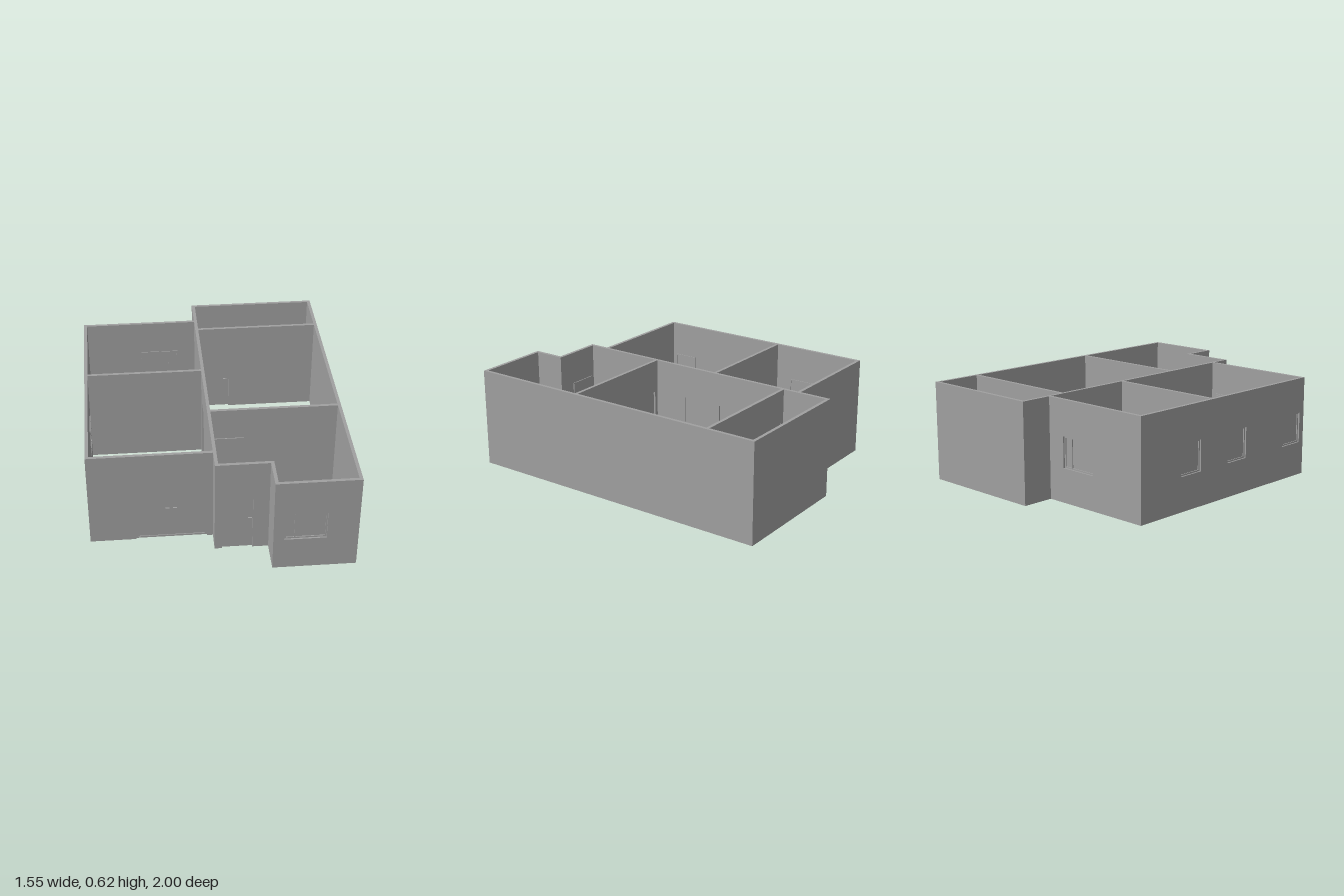
import * as THREE from 'three';

const H = 0.62, T = 0.02;          // wall height and thickness
const DOOR_TOP = 0.415, WIN_LOW = 0.21, WIN_TOP = 0.4;

export function createModel() {
  const model = new THREE.Group();
  model.name = 'house';
  const grey = new THREE.MeshStandardMaterial({ color: 0xa0a0a0 });
  grey.name = 'plaster grey';

  // box given by its limits in wall space: u along, y up, w through the wall
  function block(parent, name, u0, u1, y0, y1, w0, w1) {
    const m = new THREE.Mesh(new THREE.BoxGeometry(u1 - u0, y1 - y0, Math.abs(w1 - w0)), grey);
    m.position.set((u0 + u1) / 2, (y0 + y1) / 2, (w0 + w1) / 2);
    m.name = name;
    parent.add(m);
  }

  // four-sided frame; doors skip the raised sill
  function frame(parent, name, o, y0, y1, b, w0, w1) {
    block(parent, name, o.a, o.a + b, y0, y1, w0, w1);
    block(parent, name, o.b - b, o.b, y0, y1, w0, w1);
    block(parent, name, o.a + b, o.b - b, y1 - b, y1, w0, w1);
    block(parent, name, o.a + b, o.b - b, y0, y0 + b, w0, w1);
  }

  // each filler measures depth d from the outer face inward
  const fillers = {
    window(g, o, at) {
      frame(g, 'windowFrame', o, WIN_LOW, WIN_TOP, 0.009, at(0.01), at(0.025));
      block(g, 'windowPane', o.a + 0.009, o.b - 0.009, WIN_LOW + 0.009, WIN_TOP - 0.009, at(0.016), at(0.02));
      if (o.bar !== undefined)
        block(g, 'windowBar', o.bar, o.bar + 0.009, WIN_LOW + 0.009, WIN_TOP - 0.009, at(0.01), at(0.025));
    },
    door(g, o, at) {
      block(g, 'doorLeaf', o.a, o.b, 0, DOOR_TOP, at(0.012), at(o.flush ? 0.018 : 0.026));
      block(g, 'doorHandle', o.knob - 0.012, o.knob + 0.012, 0.213, 0.219, at(0.003), at(0.031));
    },
    garage(g, o, at) {
      frame(g, 'garageDoorFrame', o, 0, DOOR_TOP, 0.011, at(0.01), at(0.027));
      block(g, 'garageDoorPanel', o.a + 0.011, o.b - 0.011, 0.011, DOOR_TOP - 0.011, at(0.015), at(0.034));
      for (const x of [-0.31, -0.265])
        block(g, 'garageDoorHandle', x - 0.012, x + 0.012, 0.213, 0.219, at(0.006), at(0.039));
    },
  };

  // wall from u0 to u1; axis 'x' starts at z = base, axis 'z' spans base - T to base
  function wall(name, axis, base, u0, u1, openings = []) {
    const g = new THREE.Group();
    g.name = name;
    const shape = new THREE.Shape();
    shape.moveTo(u0, 0);
    for (const o of openings) {
      if (o.kind === 'window') {
        const hole = new THREE.Path();
        hole.moveTo(o.a, WIN_LOW);
        hole.lineTo(o.a, WIN_TOP);
        hole.lineTo(o.b, WIN_TOP);
        hole.lineTo(o.b, WIN_LOW);
        hole.closePath();
        shape.holes.push(hole);
      } else {
        shape.lineTo(o.a, 0);
        shape.lineTo(o.a, DOOR_TOP);
        shape.lineTo(o.b, DOOR_TOP);
        shape.lineTo(o.b, 0);
      }
    }
    shape.lineTo(u1, 0);
    shape.lineTo(u1, H);
    shape.lineTo(u0, H);
    shape.closePath();
    const body = new THREE.Mesh(new THREE.ExtrudeGeometry(shape, { depth: T, bevelEnabled: false }), grey);
    body.name = name + 'Body';
    g.add(body);
    for (const o of openings) {
      const at = d => (o.outer === -1 ? d : T - d);
      fillers[o.kind](g, o, at);
    }
    if (axis === 'x') g.position.z = base;
    else {
      g.rotation.y = -Math.PI / 2;
      g.position.x = base;
    }
    model.add(g);
  }

  // walls running front to back
  wall('leftWingSideWall', 'z', -0.755, -0.8, 0.68, [
    { kind: 'window', a: -0.47, b: -0.3 },
    { kind: 'window', a: -0.06, b: 0.11 },
    { kind: 'window', a: 0.47, b: 0.64 },
  ]);
  wall('middleWall', 'z', -0.02, -1, 0.805, [
    { kind: 'door', a: -0.4, b: -0.23, knob: -0.375, outer: -1 },
    { kind: 'door', a: -0.14, b: 0.03, knob: 0.005, flush: true },
  ]);
  wall('longSideWall', 'z', 0.775, -1, 1);
  wall('porchSideWall', 'z', 0.3, 0.805, 1);

  // walls of the smaller wing running across
  wall('wingBackWall', 'x', -0.8, -0.755, -0.04, [
    { kind: 'window', a: -0.4, b: -0.155, bar: -0.22, outer: -1 },
  ]);
  wall('wingDivider', 'x', -0.199, -0.755, -0.04);
  wall('garageFrontWall', 'x', 0.66, -0.755, -0.04, [
    { kind: 'garage', a: -0.5, b: -0.075 },
  ]);

  // walls of the larger wing running across
  wall('backWall', 'x', -1, -0.02, 0.755);
  wall('backDivider', 'x', -0.695, -0.02, 0.755, [
    { kind: 'door', a: 0.01, b: 0.185, knob: 0.16, flush: true },
  ]);
  wall('frontDivider', 'x', 0.25, -0.02, 0.755, [
    { kind: 'door', a: 0.005, b: 0.185, knob: 0.045, outer: -1 },
  ]);
  wall('porchWall', 'x', 0.785, -0.02, 0.3, [
    { kind: 'door', a: 0.005, b: 0.185, knob: 0.168 },
  ]);
  wall('frontWall', 'x', 0.98, 0.3, 0.755, [
    { kind: 'window', a: 0.345, b: 0.59, bar: 0.401 },
  ]);

  return model;
}
